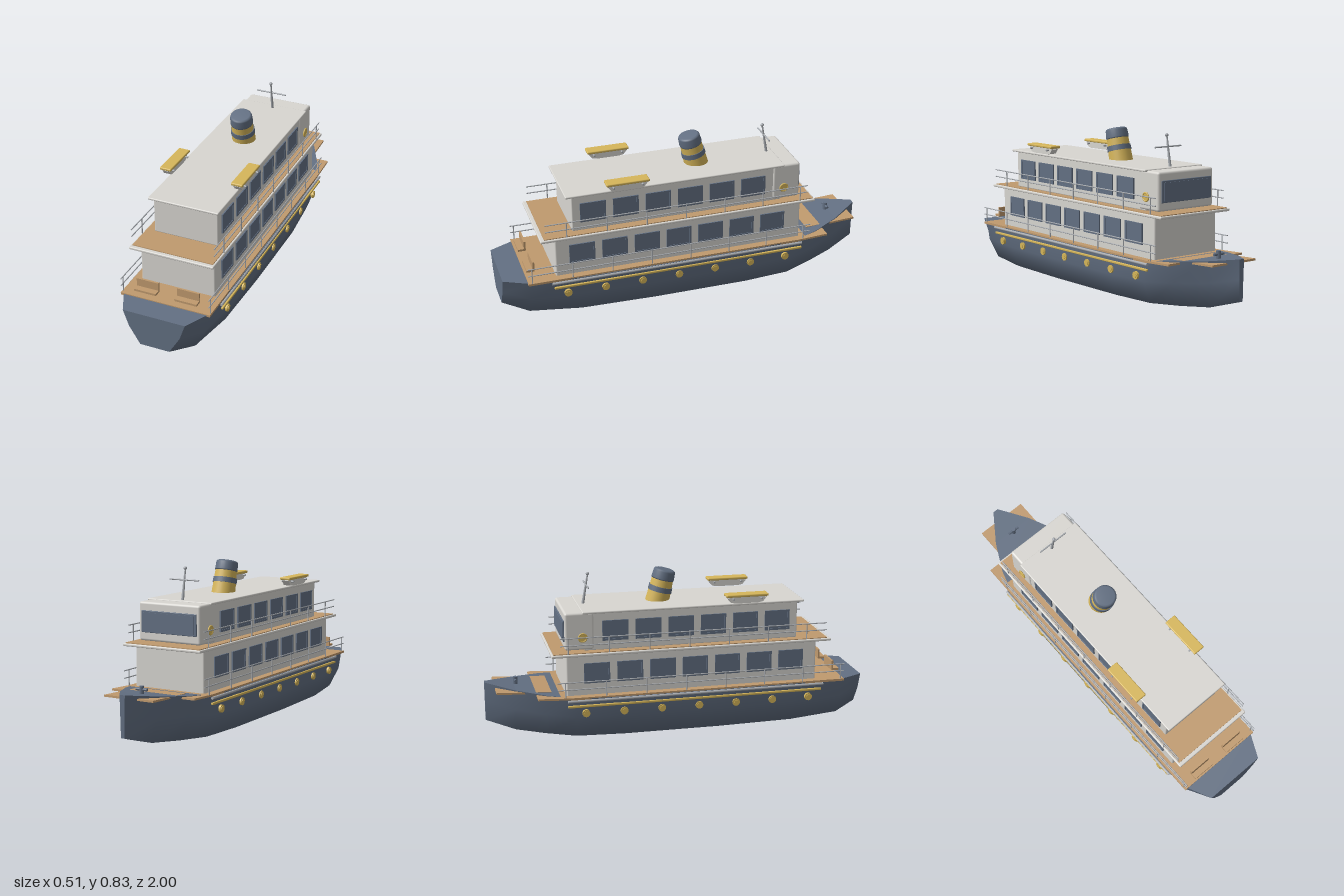
import * as THREE from 'three';
import { RoundedBoxGeometry } from 'three/addons/geometries/RoundedBoxGeometry.js';

const mat = (name, color) => Object.assign(new THREE.MeshStandardMaterial({ color }), { name });

export function createModel() {
  const white = mat('white paint', 0xd8d6d1);
  const navy = mat('navy paint', 0x637083);
  const wood = mat('deck wood', 0xc09a6e);
  const brass = mat('brass', 0xd6b65a);
  const steel = mat('steel', 0xa9adb2);
  const ship = new THREE.Group();
  ship.name = 'ferry';

  const add = (name, geo, material, x = 0, y = 0, z = 0, parent = ship) => {
    const m = new THREE.Mesh(geo, material);
    m.name = name;
    m.position.set(x, y, z);
    parent.add(m);
    return m;
  };
  // box given by its lower and upper limits on each axis
  const box = (name, material, [x0, x1], [y0, y1], [z0, z1], r = 0, parent = ship) => {
    const s = [x1 - x0, y1 - y0, z1 - z0];
    const geo = r ? new RoundedBoxGeometry(...s, 2, r) : new THREE.BoxGeometry(...s);
    return add(name, geo, material, (x0 + x1) / 2, (y0 + y1) / 2, (z0 + z1) / 2, parent);
  };
  // round bar between two points
  const bar = (name, material, a, b, r, r2 = r) => {
    const p = new THREE.Vector3(...a), q = new THREE.Vector3(...b);
    const m = add(name, new THREE.CylinderGeometry(r2, r, p.distanceTo(q), 10), material);
    m.position.lerpVectors(p, q, 0.5);
    m.quaternion.setFromUnitVectors(new THREE.Vector3(0, 1, 0), q.sub(p).normalize());
    return m;
  };
  const bothSides = (fn) => [1, -1].forEach(fn);

  // hull sections from stern to bow: z, deck y, keel y, half-widths at deck, chine and bottom
  const sections = [
    [1, 0.22, 0.042, 0.165, 0.135, 0.078],
    [0.87, 0.219, 0.012, 0.228, 0.212, 0.155],
    [0.6, 0.217, 0.003, 0.244, 0.237, 0.195],
    [0.2, 0.215, 0, 0.246, 0.241, 0.205],
    [-0.3, 0.215, 0, 0.246, 0.241, 0.205],
    [-0.55, 0.219, 0, 0.238, 0.228, 0.185],
    [-0.7, 0.232, 0.005, 0.195, 0.172, 0.125],
    [-0.85, 0.247, 0.016, 0.12, 0.095, 0.062],
    [-1, 0.268, 0.062, 0.015, 0.012, 0.01],
  ];
  const rings = sections.map(([z, top, bot, wt, wm, wb]) => {
    const mid = bot + (top - bot) * 0.52;
    return [[wt, top, z], [wm, mid, z], [wb, bot, z], [-wb, bot, z], [-wm, mid, z], [-wt, top, z]];
  });
  const index = [], caps = [];
  for (let i = 0; i < rings.length - 1; i++) {
    for (let j = 0; j < 5; j++) {
      const a = i * 6 + j, c = a + 6;
      index.push(a, a + 1, c, a + 1, c + 1, c);
    }
    const [p, q] = [rings[i], rings[i + 1]];
    caps.push(p[0], q[0], p[5], q[0], q[5], p[5]);
  }
  const stern = rings[0], bow = rings[rings.length - 1];
  for (let k = 1; k < 5; k++) {
    caps.push(stern[0], stern[k + 1], stern[k]);
    caps.push(bow[0], bow[k], bow[k + 1]);
  }
  const surface = (points, idx) => {
    const g = new THREE.BufferGeometry();
    g.setAttribute('position', new THREE.Float32BufferAttribute(points.flat(), 3));
    if (idx) g.setIndex(idx);
    g.computeVertexNormals();
    return g;
  };
  add('hull', surface(rings.flat(), index), navy);
  add('hullCaps', surface(caps), navy);

  // main deck and the two rising foredeck planks
  box('mainDeck', wood, [-0.24, 0.24], [0.212, 0.224], [-0.58, 0.88]);
  const foredeck = (w, z0, y0, z1, y1) => {
    const m = add('foredeck', new THREE.BoxGeometry(w * 2, 0.01, Math.hypot(z1 - z0, y1 - y0)), wood,
      0, (y0 + y1) / 2 - 0.005, (z0 + z1) / 2);
    m.rotation.x = Math.atan2(y1 - y0, z0 - z1);
  };
  foredeck(0.24, -0.57, 0.223, -0.75, 0.232);
  foredeck(0.14, -0.67, 0.233, -0.95, 0.247);

  // cabins, upper deck, roof and wheelhouse
  box('lowerCabin', white, [-0.2, 0.2], [0.215, 0.437], [-0.6, 0.73], 0.008);
  box('upperDeckEdge', white, [-0.225, 0.225], [0.434, 0.448], [-0.675, 0.805], 0.005);
  box('upperDeck', wood, [-0.215, 0.215], [0.446, 0.452], [-0.665, 0.785]);
  box('upperCabin', white, [-0.172, 0.172], [0.45, 0.648], [-0.5, 0.63], 0.006);
  box('roof', white, [-0.188, 0.188], [0.645, 0.657], [-0.51, 0.662], 0.005);
  box('wheelhouse', white, [-0.178, 0.178], [0.457, 0.652], [-0.6, -0.45], 0.012);
  box('wheelhouseWindowFrame', navy, [-0.16, 0.16], [0.5, 0.61], [-0.606, -0.598], 0.003);
  box('wheelhouseWindow', navy, [-0.148, 0.148], [0.51, 0.6], [-0.609, -0.6]);

  // window with a raised frame around a pane
  const frameShape = new THREE.Shape([[-1, -1], [1, -1], [1, 1], [-1, 1]].map(
    ([x, y]) => new THREE.Vector2(x * 0.067, y * 0.053)));
  frameShape.holes.push(new THREE.Path([[-1, -1], [-1, 1], [1, 1], [1, -1]].map(
    ([x, y]) => new THREE.Vector2(x * 0.057, y * 0.043))));
  const frameGeo = new THREE.ExtrudeGeometry(frameShape, { depth: 0.009, bevelEnabled: false });
  const paneGeo = new THREE.BoxGeometry(0.116, 0.088, 0.008);
  const windowRow = (side, count, z0, x, y) => {
    for (let i = 0; i < count; i++) {
      const g = new THREE.Group();
      g.name = 'sideWindow';
      g.position.set(side * x, y, z0 - i * 0.172);
      g.rotation.y = side * Math.PI / 2;
      add('windowFrame', frameGeo, navy, 0, 0, -0.002, g);
      add('windowPane', paneGeo, navy, 0, 0, 0, g);
      ship.add(g);
    }
  };

  // side railing with two rails and evenly spaced posts
  const railing = (x, y, z0, z1, post) => {
    for (const h of [0.045, 0.083]) bar('rail', steel, [x, y + h, z0], [x, y + h, z1], 0.003);
    for (let z = post; z > z1; z -= 0.21) bar('railPost', steel, [x, y, z], [x, y + 0.083, z], 0.003);
  };

  const portGeo = new THREE.CylinderGeometry(0.02, 0.02, 0.012, 20).rotateZ(Math.PI / 2);
  const portGlassGeo = new THREE.CylinderGeometry(0.012, 0.012, 0.018, 20).rotateZ(Math.PI / 2);
  const ringGeo = new THREE.TorusGeometry(0.021, 0.004, 8, 24).rotateY(Math.PI / 2);
  const ringDiscGeo = new THREE.CylinderGeometry(0.021, 0.021, 0.005, 24).rotateZ(Math.PI / 2);

  bothSides((s) => {
    windowRow(s, 7, 0.59, 0.2, 0.34);
    windowRow(s, 6, 0.52, 0.172, 0.552);
    railing(s * 0.235, 0.222, 0.88, -0.65, 0.86);
    railing(s * 0.22, 0.45, 0.78, -0.63, 0.67);

    // rubbing strake, gilt stripe and portholes
    bar('rubRail', steel, [s * 0.246, 0.207, 0.76], [s * 0.246, 0.207, -0.6], 0.007);
    box('giltStripe', brass, [s * 0.245 - 0.006, s * 0.245 + 0.006], [0.173, 0.185], [-0.6, 0.75], 0.003);
    for (let i = 0; i < 7; i++) {
      const z = 0.68 - i * 0.198;
      add('porthole', portGeo, brass, s * 0.243, 0.14, z);
      add('portholeCentre', portGlassGeo, brass, s * 0.243, 0.14, z);
    }
    add('lifeRing', ringGeo, brass, s * 0.184, 0.523, -0.51);
    add('lifeRingCentre', ringDiscGeo, brass, s * 0.183, 0.523, -0.51);

    // stern bench
    const bx = [s * 0.109 - 0.059, s * 0.109 + 0.059];
    box('benchSeat', wood, bx, [0.251, 0.262], [0.835, 0.875]);
    box('benchBack', wood, bx, [0.255, 0.304], [0.833, 0.843]);

    // lifeboat with tapered hull, cover and cradle bars
    const boat = new THREE.Shape([[-0.105, 0.03], [-0.085, 0.005], [-0.06, 0], [0.06, 0], [0.085, 0.005], [0.105, 0.03]]
      .map((p) => new THREE.Vector2(...p)));
    const boatGeo = new THREE.ExtrudeGeometry(boat, { depth: 0.04, bevelEnabled: false })
      .translate(0, 0, -0.02).rotateY(Math.PI / 2);
    add('lifeboat', boatGeo, white, s * 0.193, 0.663, 0.345);
    box('lifeboatCover', brass, [s * 0.193 - 0.031, s * 0.193 + 0.031], [0.697, 0.711], [0.233, 0.457], 0.005);
    box('lifeboatThwart', white, [s * 0.193 - 0.02, s * 0.193 + 0.02], [0.69, 0.7], [0.25, 0.44]);
    for (const z of [0.27, 0.42])
      bar('lifeboatCradle', steel, [s * 0.157, 0.687, z], [s * 0.229, 0.687, z], 0.005);
  });

  // raked funnel with bands
  const funnel = new THREE.Group();
  funnel.name = 'funnel';
  funnel.position.set(0, 0.645, -0.085);
  funnel.rotation.x = 0.25;
  ship.add(funnel);
  const band = (name, m, y0, y1, r0, r1) =>
    add(name, new THREE.CylinderGeometry(r1, r0, y1 - y0, 28), m, 0, (y0 + y1) / 2, 0, funnel);
  band('funnelBody', brass, -0.01, 0.13, 0.063, 0.056);
  band('funnelBand', navy, 0.058, 0.085, 0.0635, 0.062);
  const capProfile = [[0, 0.122], [0.058, 0.122], [0.0595, 0.128], [0.057, 0.165], [0.054, 0.172], [0.046, 0.176], [0, 0.176]];
  add('funnelCap', new THREE.LatheGeometry(capProfile.map((p) => new THREE.Vector2(...p)), 28), navy, 0, 0, 0, funnel);

  // signal mast
  bar('mast', steel, [0, 0.65, -0.478], [0, 0.81, -0.45], 0.008, 0.004);
  bar('mastYard', steel, [-0.085, 0.755, -0.46], [0.085, 0.755, -0.46], 0.004);
  add('mastLamp', new THREE.SphereGeometry(0.009, 14, 10), steel, 0, 0.812, -0.45);

  // mooring bitt on the bow
  bar('bitt', navy, [0, 0.238, -0.84], [0, 0.285, -0.84], 0.012);
  bar('bittCross', navy, [-0.032, 0.268, -0.84], [0.032, 0.268, -0.84], 0.007);
  return ship;
}
